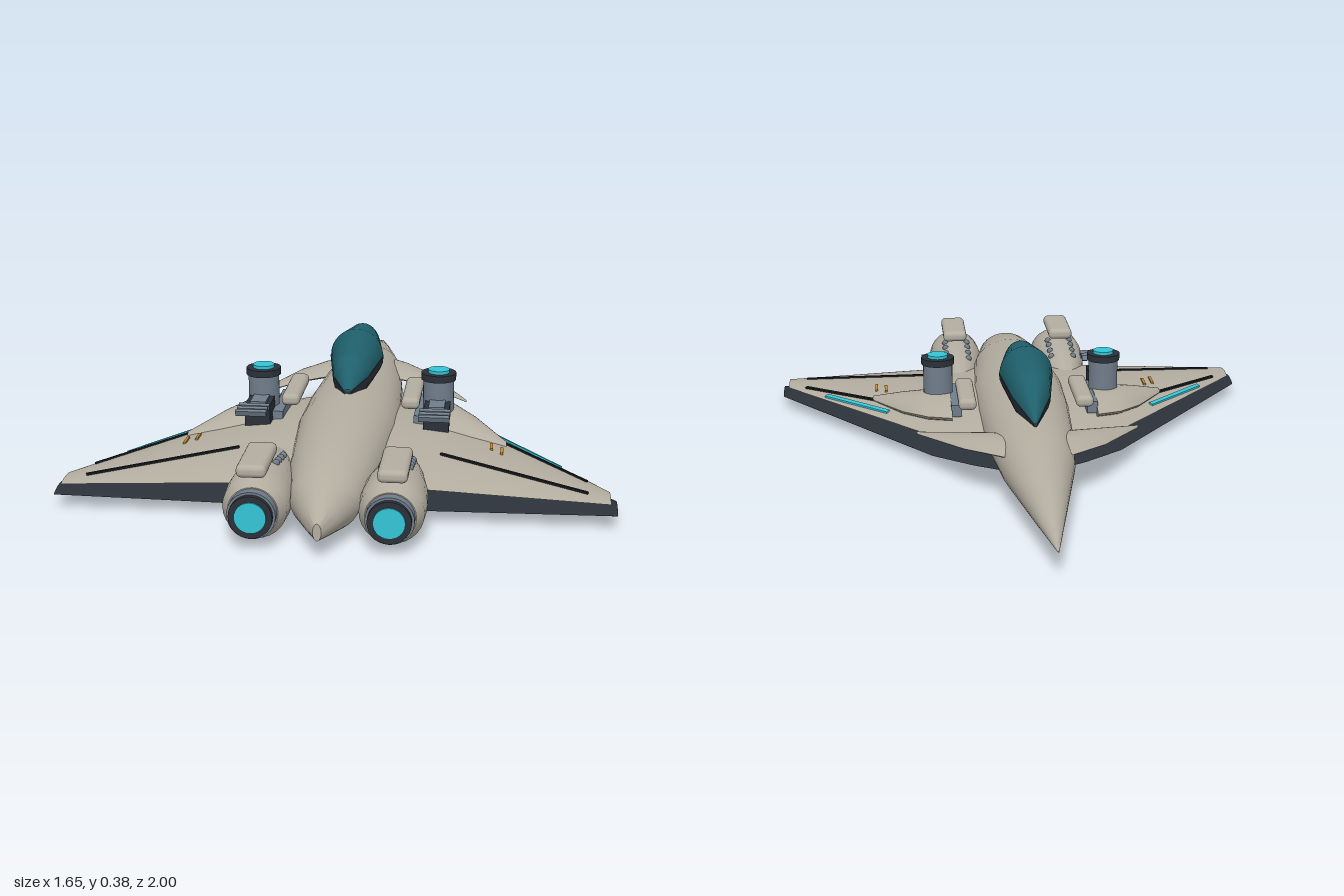
import * as THREE from 'three';
import { toCreasedNormals } from 'three/addons/utils/BufferGeometryUtils.js';
import { RoundedBoxGeometry } from 'three/addons/geometries/RoundedBoxGeometry.js';

const material = (name, color) => new THREE.MeshStandardMaterial({ name, color });
const { lerp } = THREE.MathUtils;

// Skin closed rings of points, cap both ends and face the surface outwards
function loft(rings, crease = 0.6) {
  const n = rings[0].length, pos = [], idx = [];
  rings.forEach(r => r.forEach(p => pos.push(...p)));
  for (let i = 0; i < rings.length - 1; i++) {
    for (let j = 0; j < n; j++) {
      const a = i * n + j, b = i * n + (j + 1) % n;
      idx.push(a, b, a + n, b, b + n, a + n);
    }
  }
  const last = (rings.length - 1) * n;
  for (let j = 1; j < n - 1; j++) idx.push(0, j + 1, j, last, last + j, last + j + 1);
  let volume = 0;
  const point = i => new THREE.Vector3().fromArray(pos, i * 3);
  for (let i = 0; i < idx.length; i += 3) {
    volume += point(idx[i]).dot(point(idx[i + 1]).cross(point(idx[i + 2])));
  }
  if (volume < 0) idx.reverse();
  const g = new THREE.BufferGeometry();
  g.setAttribute('position', new THREE.Float32BufferAttribute(pos, 3));
  g.setIndex(idx);
  return toCreasedNormals(g, crease);
}

// Elliptical ring across z, over a full or partial arc
function ellipse(z, w, cy, h, n = 32, start = 0, arc = Math.PI * 2) {
  const full = arc > 6;
  return Array.from({ length: full ? n : n + 1 }, (_, i) => {
    const a = start + arc * i / n;
    return [w * Math.cos(a), cy + h * Math.sin(a), z];
  });
}

// Lens-shaped wing section: [x, front z, back z, centre y, half thickness]
const bulge = u => Math.pow(Math.max(0, Math.sin(Math.PI * u)), 0.75);
function lens([x, zf, zb, cy, h], s, n = 14) {
  const ring = [];
  for (let i = 0; i <= n; i++) ring.push([s * x, cy + h * bulge(i / n), lerp(zf, zb, i / n)]);
  for (let i = n - 1; i > 0; i--) ring.push([s * x, cy - h * bulge(i / n), lerp(zf, zb, i / n)]);
  return ring;
}
const wingLoft = (sections, s) => loft(sections.map(p => lens(p, s)));

const UPPER = [
  [0.08, -0.22, 0.68, 0.11, 0.06], [0.18, -0.16, 0.68, 0.108, 0.056],
  [0.31, -0.06, 0.68, 0.103, 0.048], [0.805, 0.575, 0.68, 0.08, 0.007],
];
const LOWER = [
  [0.08, -0.25, 0.69, 0.043, 0.036], [0.18, -0.19, 0.69, 0.043, 0.036],
  [0.31, -0.09, 0.69, 0.044, 0.032], [0.825, 0.57, 0.69, 0.05, 0.012],
];
const CANARD = [
  [0.08, -0.47, -0.24, 0.165, 0.024], [0.14, -0.42, -0.22, 0.163, 0.022],
  [0.22, -0.34, -0.185, 0.155, 0.016], [0.36, -0.115, -0.095, 0.13, 0.003],
];
const FAIRING = [
  [0.24, -0.03, 0.22, 0.15, 0.04], [0.32, 0.0, 0.27, 0.148, 0.04],
  [0.4, 0.1, 0.3, 0.135, 0.03], [0.5, 0.28, 0.32, 0.12, 0.008],
];

// Height of the upper wing skin
function wingTop(x, z) {
  const ax = Math.abs(x);
  let i = 0;
  while (i < UPPER.length - 2 && ax > UPPER[i + 1][0]) i++;
  const a = UPPER[i], b = UPPER[i + 1], t = (ax - a[0]) / (b[0] - a[0]);
  const [, zf, zb, cy, h] = a.map((v, k) => lerp(v, b[k], t));
  return cy + h * bulge(THREE.MathUtils.clamp((z - zf) / (zb - zf), 0, 1));
}

// Thin strip draped over the wing from one plan point to another
function strip(x0, z0, x1, z1, width) {
  const dx = x1 - x0, dz = z1 - z0;
  const g = new THREE.BoxGeometry(width, 0.008, Math.hypot(dx, dz), 1, 1, 14);
  g.rotateY(Math.atan2(dx, dz)).translate((x0 + x1) / 2, 0.002, (z0 + z1) / 2);
  const p = g.attributes.position;
  for (let i = 0; i < p.count; i++) p.setY(i, p.getY(i) + wingTop(p.getX(i), p.getZ(i)));
  g.computeVertexNormals();
  return g;
}

export function createModel() {
  const model = new THREE.Group();
  model.name = 'starfighter';
  const hull = material('hull', 0xb3ada0);
  const dark = material('dark panel', 0x2b3139);
  const steel = material('steel', 0x707d8b);
  const glass = material('canopy glass', 0x1f606c);
  const glow = material('glow', 0x35c5d6);
  const amber = material('amber', 0xc98a2e);
  const seam = material('seam', 0x17191c);

  const add = (name, geometry, mat, x = 0, y = 0, z = 0) => {
    const m = new THREE.Mesh(geometry, mat);
    m.name = name;
    m.position.set(x, y, z);
    model.add(m);
    return m;
  };

  // Fuselage with long nose and tapered tail
  add('fuselage', loft([
    [-1, 0.002, 0.088, 0.002], [-0.75, 0.053, 0.106, 0.048], [-0.45, 0.113, 0.125, 0.095],
    [-0.2, 0.138, 0.127, 0.112], [0.05, 0.152, 0.13, 0.121], [0.28, 0.156, 0.131, 0.123],
    [0.6, 0.132, 0.125, 0.11], [0.83, 0.098, 0.11, 0.085], [0.93, 0.05, 0.098, 0.05],
    [1, 0.012, 0.09, 0.025],
  ].map(p => ellipse(...p)), 0.8), hull);

  // Canopy glass above its dark frame
  const canopy = [
    [-0.36, 0.004, 0.235, 0.005, 0.01], [-0.22, 0.06, 0.28, 0.08, 0.08],
    [-0.03, 0.086, 0.3, 0.09, 0.09], [0.16, 0.056, 0.285, 0.07, 0.08],
    [0.25, 0.01, 0.26, 0.008, 0.02],
  ];
  add('canopy', loft(canopy.map(([z, w, cy, h]) => ellipse(z, w, cy, h, 16, 0, Math.PI)), 0.5), glass);
  add('canopyFrame', loft(canopy.map(([z, w, cy, , h]) =>
    ellipse(z, w + 0.002, cy, h, 12, Math.PI, Math.PI)), 0.5), dark);

  for (const s of [1, -1]) {
    const side = s > 0 ? 'left' : 'right';
    const part = (name, g, mat, x = 0, y = 0, z = 0) => add(side + name, g, mat, s * x, y, z);

    // Wings, canards and wing fairings
    part('WingUpper', wingLoft(UPPER, s), hull);
    part('WingLower', wingLoft(LOWER, s), dark);
    part('Canard', wingLoft(CANARD, s), hull);
    part('WingFairing', wingLoft(FAIRING, s), hull);

    // Wing markings
    part('GlowStripe', strip(s * 0.45, 0.17, s * 0.665, 0.42, 0.013), glow);
    part('OuterSeam', strip(s * 0.48, 0.27, s * 0.74, 0.53, 0.008), seam);
    part('RearSeam', strip(s * 0.305, 0.477, s * 0.74, 0.632, 0.008), seam);
    part('AmberMarkInner', strip(s * 0.455, 0.335, s * 0.455, 0.392, 0.009), amber);
    part('AmberMarkOuter', strip(s * 0.487, 0.36, s * 0.487, 0.42, 0.009), amber);

    // Engine: nacelle, nozzle and glowing exhaust
    const nacelle = [[0, 0.41], [0.022, 0.42], [0.045, 0.48], [0.073, 0.6], [0.092, 0.72],
      [0.096, 0.8], [0.092, 0.87], [0.072, 0.905], [0, 0.905]];
    const body = new THREE.LatheGeometry(nacelle.map(p => new THREE.Vector2(...p)), 28);
    part('Nacelle', toCreasedNormals(body.rotateX(Math.PI / 2), 0.6), hull, 0.192, 0.105);
    const disc = (r, l) => new THREE.CylinderGeometry(r, r, l, 28).rotateX(Math.PI / 2);
    part('NozzleRing', disc(0.069, 0.04), steel, 0.192, 0.105, 0.915);
    part('NozzleLip', disc(0.062, 0.025), dark, 0.192, 0.105, 0.937);
    part('Exhaust', disc(0.045, 0.008), glow, 0.192, 0.105, 0.95);

    // Rivets on the nacelle
    for (const z of [0.6, 0.645, 0.69, 0.73]) {
      const r = lerp(0.073, 0.092, (z - 0.6) / 0.12);
      for (const dx of [-0.04, 0.04]) {
        part('Rivet', new THREE.SphereGeometry(0.011, 10, 8), steel,
          0.192 + dx, 0.105 + Math.sqrt(r * r - dx * dx), z);
      }
    }

    // Rounded pods over the engine and beside the cockpit
    part('EnginePod', new RoundedBoxGeometry(0.085, 0.038, 0.22, 4, 0.016), hull, 0.196, 0.222, 0.8);
    part('SidePod', new RoundedBoxGeometry(0.058, 0.038, 0.255, 4, 0.016), hull, 0.192, 0.205, 0.06);
    part('SideRail', new THREE.BoxGeometry(0.035, 0.04, 0.24), steel, 0.225, 0.165, 0.12);

    // Upright turret
    const post = (r, h) => new THREE.CylinderGeometry(r, r, h, 24);
    part('TurretBase', new THREE.BoxGeometry(0.08, 0.07, 0.1), dark, 0.28, 0.185, 0.24);
    part('TurretBaseTop', new THREE.BoxGeometry(0.05, 0.008, 0.08), steel, 0.28, 0.223, 0.24);
    part('TurretBody', post(0.049, 0.14), steel, 0.28, 0.22, 0.157);
    part('TurretCap', post(0.055, 0.022), dark, 0.28, 0.295, 0.157);
    part('TurretLight', post(0.034, 0.012), glow, 0.28, 0.31, 0.157);

    // Cooling slats behind the turret
    for (const z of [0.345, 0.377, 0.409]) {
      part('Slat', new THREE.BoxGeometry(0.095, 0.018, 0.012), steel, 0.28, 0.232, z).rotation.x = 0.4;
    }
  }
  return model;
}
